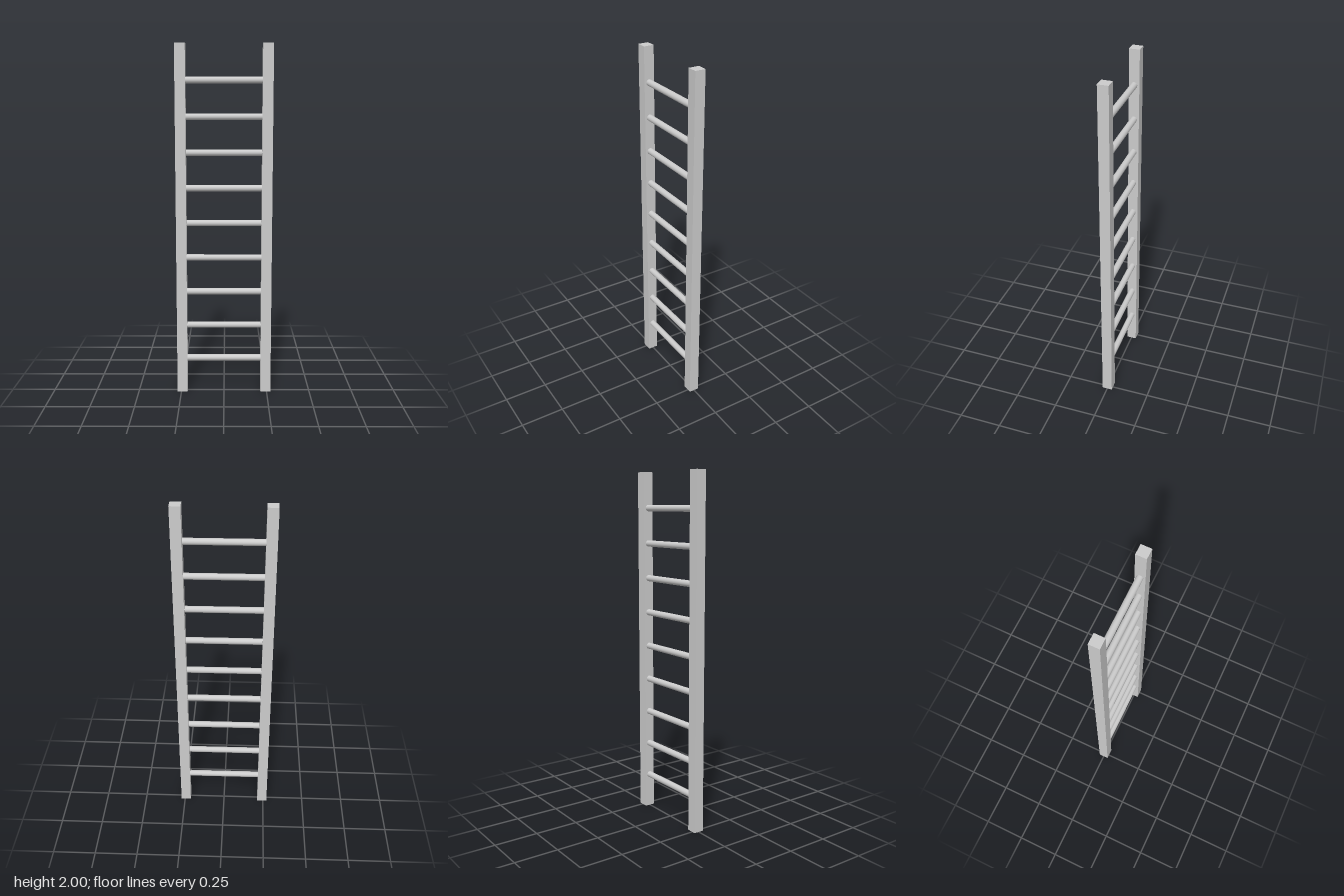
import * as THREE from 'three';

export function createModel() {
  const ladder = new THREE.Group();
  ladder.name = 'ladder';
  const material = new THREE.MeshStandardMaterial({ color: 0xcccccc });

  const height = 2, railSize = 0.059, railX = 0.243;
  const rungCount = 9, rungRadius = 0.018;

  // Square side rails
  const railGeometry = new THREE.BoxGeometry(railSize, height, railSize);
  for (const side of [-1, 1]) {
    const rail = new THREE.Mesh(railGeometry, material);
    rail.name = side > 0 ? 'leftRail' : 'rightRail';
    rail.position.set(side * railX, height / 2, 0);
    ladder.add(rail);
  }

  // Round rungs, evenly spaced, ending just inside the rails
  const rungLength = 2 * railX - railSize + 0.01;
  const rungGeometry = new THREE.CylinderGeometry(rungRadius, rungRadius, rungLength, 24);
  rungGeometry.rotateZ(Math.PI / 2);
  for (let i = 1; i <= rungCount; i++) {
    const rung = new THREE.Mesh(rungGeometry, material);
    rung.name = `rung${i}`;
    rung.position.y = (i * height) / (rungCount + 1);
    ladder.add(rung);
  }

  return ladder;
}
